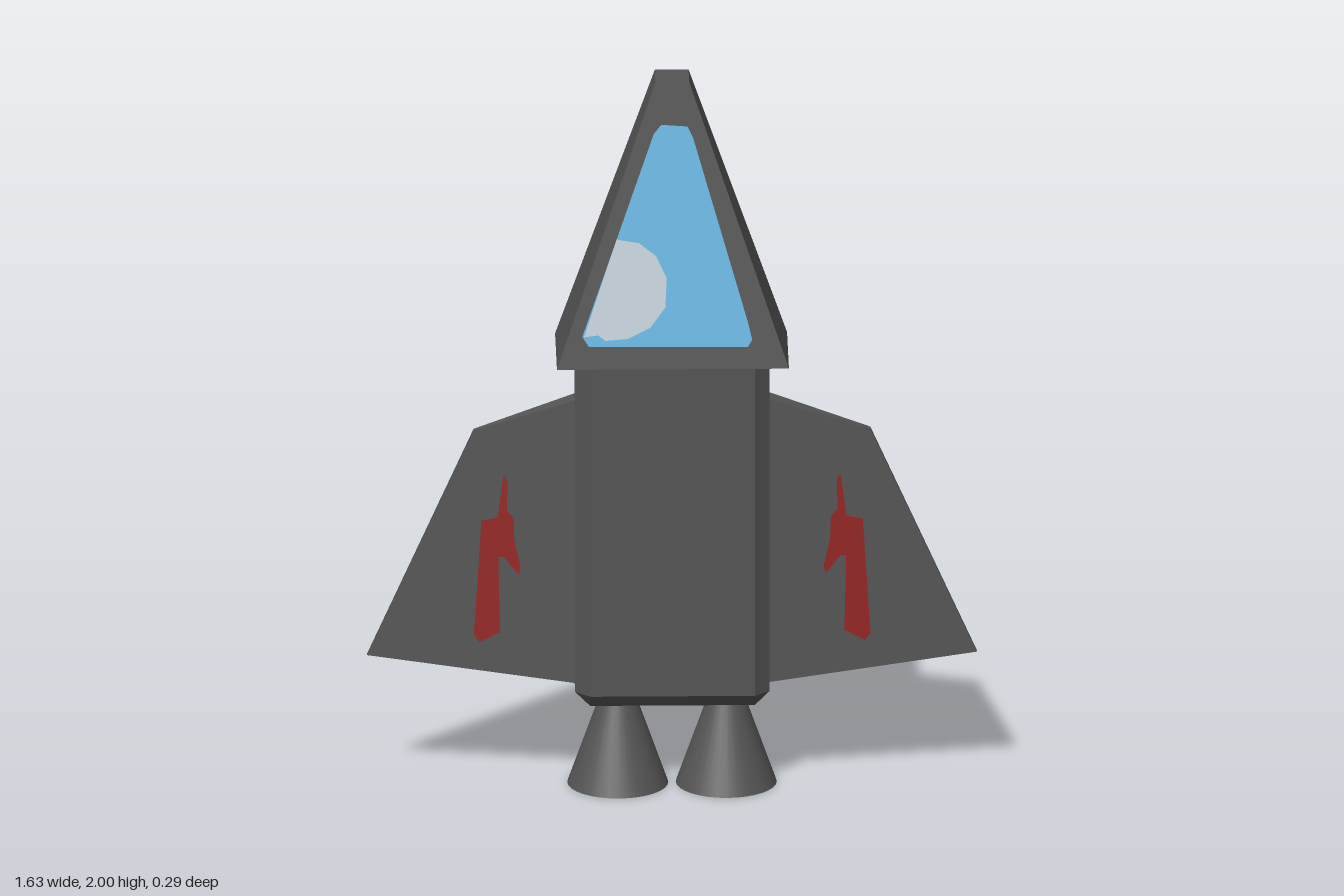
import * as THREE from 'three';
import { ConvexGeometry } from 'three/addons/geometries/ConvexGeometry.js';

const mat = (name, color, side = THREE.FrontSide) => {
  const m = new THREE.MeshStandardMaterial({ color, side });
  m.name = name;
  return m;
};

export function createModel() {
  const hull = mat('hull grey', 0x555555, THREE.DoubleSide);
  const blue = mat('window blue', 0x6bb8e6, THREE.DoubleSide);
  const glint = mat('window glint', 0xc6d3dd, THREE.DoubleSide);
  const red = mat('bolt red', 0x942424, THREE.DoubleSide);
  const gold = mat('exhaust gold', 0xdba010, THREE.DoubleSide);

  const model = new THREE.Group();
  model.name = 'rocket';
  const add = (name, geo, material, parent = model) => {
    const mesh = new THREE.Mesh(geo, material);
    mesh.name = name;
    parent.add(mesh);
    return mesh;
  };

  // Flat outline laid onto a surface whose depth is given by zAt(x, y)
  const plate = (points, zAt) => {
    const geo = new THREE.ShapeGeometry(new THREE.Shape(points.map(([x, y]) => new THREE.Vector2(x, y))));
    const p = geo.attributes.position;
    for (let i = 0; i < p.count; i++) p.setZ(i, zAt(p.getX(i), p.getY(i)));
    geo.computeVertexNormals();
    return geo;
  };

  // Body: box with chamfered upright edges and chamfered bottom
  const pts = [];
  for (const sx of [-1, 1]) for (const sz of [-1, 1]) {
    pts.push(new THREE.Vector3(sx * 0.22, 0.24, sz * 0.07));
    for (const y of [0.28, 1.24]) {
      pts.push(new THREE.Vector3(sx * 0.26, y, sz * 0.07), new THREE.Vector3(sx * 0.22, y, sz * 0.11));
    }
  }
  add('body', new ConvexGeometry(pts), hull);

  // Nose: tapered box, open underneath
  const nose = new THREE.BoxGeometry(1, 1, 1);
  const np = nose.attributes.position;
  for (let i = 0; i < np.count; i++) {
    const top = np.getY(i) > 0;
    np.setXYZ(i, Math.sign(np.getX(i)) * (top ? 0.045 : 0.31), top ? 2 : 1.22,
      Math.sign(np.getZ(i)) * (top ? 0.05 : 0.147));
  }
  const faces = Array.from(nose.index.array);
  faces.splice(18, 6);
  nose.setIndex(faces);
  nose.clearGroups();
  nose.computeVertexNormals();
  add('nose', nose, hull);

  // Window with glint, also seen from within the nose
  const noseZ = (offset) => (x, y) => 0.147 - (y - 1.22) * 0.1244 + offset;
  const windowOutline = [[-0.225, 1.283], [0.2, 1.28], [0.212, 1.3], [0.2, 1.35], [0.055, 1.85],
    [0.04, 1.88], [-0.03, 1.885], [-0.05, 1.86], [-0.242, 1.31]];
  const glintOutline = [[-0.238, 1.31], [-0.15, 1.575], [-0.09, 1.565], [-0.045, 1.53], [-0.016, 1.47],
    [-0.02, 1.39], [-0.06, 1.335], [-0.12, 1.305], [-0.18, 1.3], [-0.2, 1.315]];
  add('window', plate(windowOutline, noseZ(0.003)), blue);
  add('windowInside', plate(windowOutline, noseZ(-0.003)), blue);
  add('windowGlint', plate(glintOutline, noseZ(0.006)), glint);

  // Fins: wedges thinning outward and upward, with a bolt on each face
  const finZ = (x, y) => 0.06 - 0.0912 * (x - 0.25) - 0.0377 * (y - 0.3);
  const finOutline = [[0.25, 0.3], [0.815, 0.365], [0.53, 1.0], [0.25, 1.095]];
  const boltOutline = [[0.45, 0.88], [0.466, 0.76], [0.51, 0.75], [0.515, 0.66], [0.53, 0.43],
    [0.515, 0.41], [0.46, 0.44], [0.465, 0.65], [0.45, 0.65], [0.41, 0.6], [0.405, 0.62],
    [0.422, 0.7], [0.424, 0.76], [0.442, 0.78], [0.44, 0.86]];
  for (const side of [1, -1]) {
    const fin = new THREE.Group();
    fin.name = side > 0 ? 'leftFin' : 'rightFin';
    model.add(fin);
    const corners = [];
    for (const s of [1, -1]) {
      for (const [x, y] of finOutline) corners.push(new THREE.Vector3(side * x, y, s * finZ(x, y)));
      const outline = boltOutline.map(([x, y]) => [side * x, y]);
      add(s > 0 ? 'frontBolt' : 'backBolt',
        plate(outline, (x, y) => s * (finZ(Math.abs(x), y) + 0.003)), red, fin);
    }
    add('finBlade', new ConvexGeometry(corners), hull, fin);

    // Engine nozzle with glowing exhaust disc
    const engine = new THREE.Group();
    engine.name = side > 0 ? 'leftEngine' : 'rightEngine';
    engine.position.x = side * 0.145;
    model.add(engine);
    add('nozzle', new THREE.CylinderGeometry(0.043, 0.135, 0.26, 32, 1, true), hull, engine).position.y = 0.13;
    const disc = add('exhaust', new THREE.CircleGeometry(0.134, 32), gold, engine);
    disc.rotation.x = Math.PI / 2;
    disc.position.y = 0.002;
  }
  return model;
}
